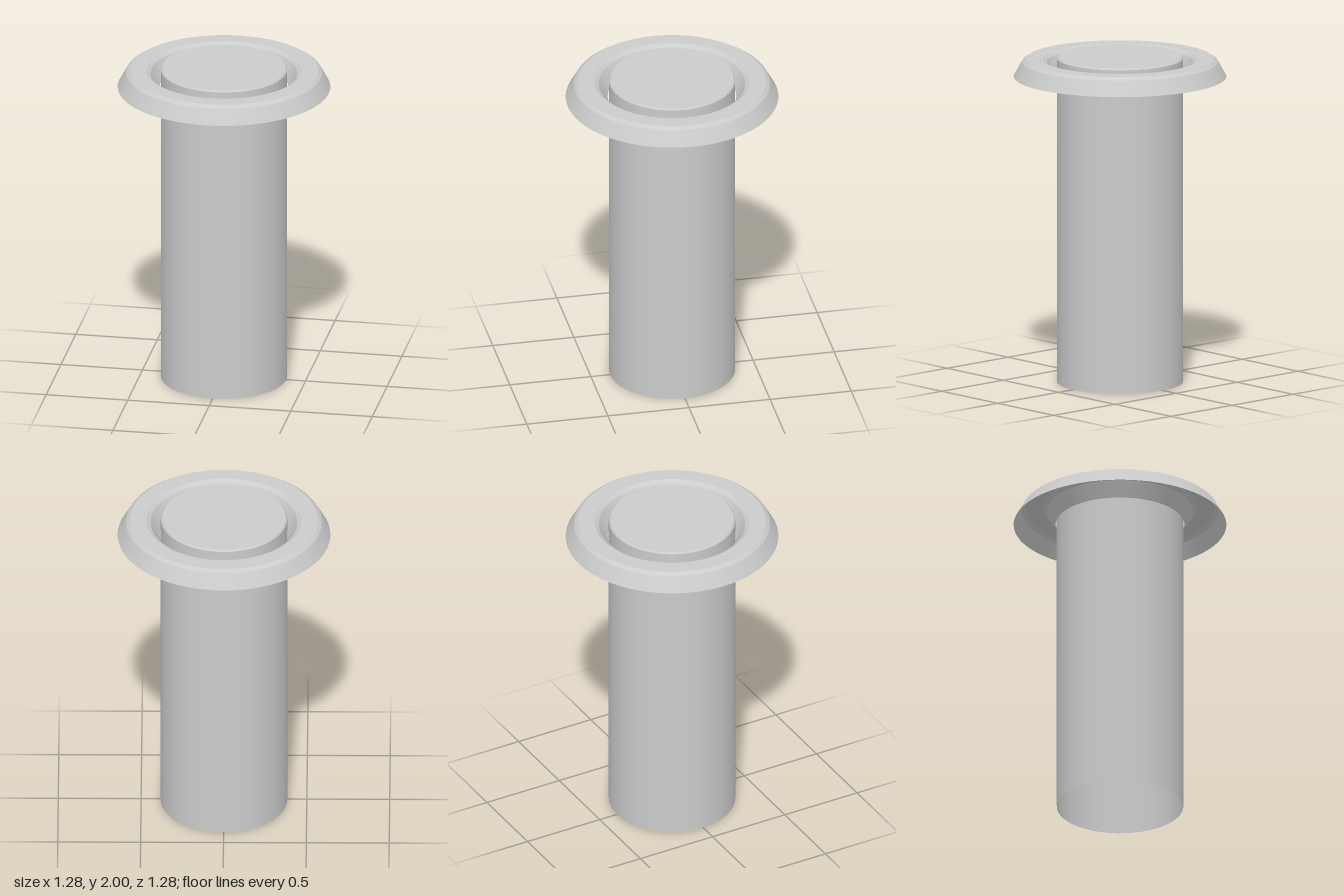
import * as THREE from 'three';
import { mergeGeometries } from 'three/addons/utils/BufferGeometryUtils.js';

// Turned surface that is smooth around the axis and crisp between profile bands
function turned(profile, segments) {
  const bands = [];
  for (let i = 0; i < profile.length - 1; i++) {
    const pair = [profile[i], profile[i + 1]].map(([r, y]) => new THREE.Vector2(r, y));
    bands.push(new THREE.LatheGeometry(pair, segments));
  }
  return mergeGeometries(bands);
}

export function createModel() {
  const model = new THREE.Group();
  model.name = 'flangedPin';
  const material = new THREE.MeshStandardMaterial({ color: 0xcccccc, side: THREE.DoubleSide });

  const add = (name, geometry) => {
    const mesh = new THREE.Mesh(geometry, material);
    mesh.name = name;
    model.add(mesh);
  };

  // Hollow shaft, open at the bottom, with a slightly chamfered rim
  add('shaft', turned([[0.382, 0], [0.382, 1.99], [0.373, 2]], 48));

  // Flat lid closing the shaft
  const lid = new THREE.CircleGeometry(0.373, 48);
  lid.rotateX(-Math.PI / 2).translate(0, 2, 0);
  add('lid', lid);

  // Thin-walled collar, open underneath, with a narrow gap around the shaft
  add('collar', turned([
    [0.642, 1.877], [0.591, 1.968], [0.567, 1.985],
    [0.468, 1.985], [0.442, 1.968], [0.388, 1.877],
  ], 96));

  return model;
}
